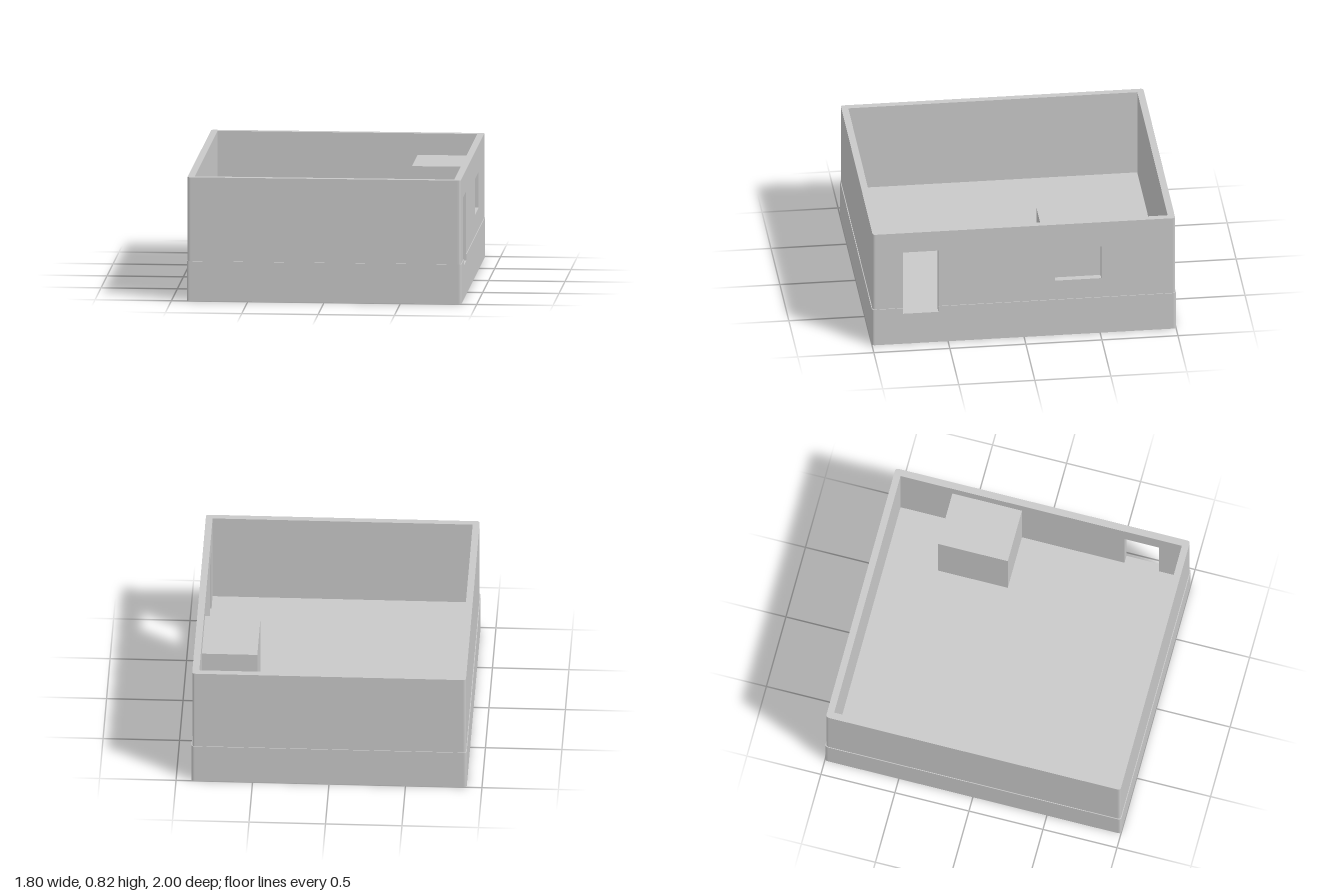
import * as THREE from 'three';

const FLOOR = 0.222, TOP = 0.817, BAND = 0.263;
const DOOR = { front: 0.797, back: 0.563, top: 0.674 };

// Rounded outline from the right side's upper end round to its lower end (shape y = -z)
function outerOutline(hx, hz, r, lo, hi) {
  const s = new THREE.Shape();
  s.moveTo(hx, hi);
  s.lineTo(hx, hz - r);
  s.quadraticCurveTo(hx, hz, hx - r, hz);
  s.lineTo(-hx + r, hz);
  s.quadraticCurveTo(-hx, hz, -hx, hz - r);
  s.lineTo(-hx, -hz + r);
  s.quadraticCurveTo(-hx, -hz, -hx + r, -hz);
  s.lineTo(hx - r, -hz);
  s.quadraticCurveTo(hx, -hz, hx, -hz + r);
  s.lineTo(hx, lo);
  return s;
}

// Ring with a gap in its right side
function openRing(hx, hz, r, ix, iz, lo, hi) {
  const s = outerOutline(hx, hz, r, lo, hi);
  [[ix, lo], [ix, -iz], [-ix, -iz], [-ix, iz], [ix, iz], [ix, hi]].forEach(p => s.lineTo(...p));
  s.closePath();
  return s;
}

const polygon = pts => pts.map(p => new THREE.Vector2(...p));
const rectangle = (x0, y0, x1, y1) => polygon([[x0, y0], [x1, y0], [x1, y1], [x0, y1]]);
const extrude = (shape, depth) =>
  new THREE.ExtrudeGeometry(shape, { depth, bevelEnabled: false, curveSegments: 5 });

// Extrude a plan upward, or a side elevation (u = -z, v = y) along x
const upward = (shape, y0, y1) => extrude(shape, y1 - y0).rotateX(-Math.PI / 2).translate(0, y0, 0);
const sideways = (shape, x0, x1) => extrude(shape, x1 - x0).rotateY(Math.PI / 2).translate(x0, 0, 0);

export function createModel() {
  const model = new THREE.Group();
  model.name = 'building';
  const grey = new THREE.MeshStandardMaterial({ color: 0xc8c8c8 });
  grey.name = 'light grey';
  const add = (name, geometry) => {
    const mesh = new THREE.Mesh(geometry, grey);
    mesh.name = name;
    model.add(mesh);
  };

  // Hollow base below the floor
  const plinth = outerOutline(0.9, 1, 0.02, -0.9, 0.9);
  plinth.closePath();
  plinth.holes.push(new THREE.Path(rectangle(-0.85, -0.95, 0.85, 0.95)));
  add('plinth', upward(plinth, 0, FLOOR));

  // Top of the base, cut away at the doorway
  add('plinthBand', upward(
    openRing(0.9, 1, 0.02, 0.88, 0.98, -DOOR.front, -DOOR.back), FLOOR, BAND));

  // Floor slab
  add('floor', new THREE.BoxGeometry(1.7, 0.022, 1.9).translate(0, FLOOR - 0.011, 0));

  // Three plain walls with all four corners
  add('walls', upward(openRing(0.895, 0.995, 0.02, 0.85, 0.95, -0.94, 0.94), FLOOR, TOP));

  // Wall with the doorway and window
  const wall = new THREE.Shape(polygon([
    [-0.94, FLOOR], [-DOOR.front, FLOOR], [-DOOR.front, DOOR.top], [-DOOR.back, DOOR.top],
    [-DOOR.back, FLOOR], [0.94, FLOOR], [0.94, TOP], [-0.94, TOP]]));
  wall.holes.push(new THREE.Path(rectangle(0.203, 0.402, 0.508, 0.638)));
  add('doorWall', sideways(wall, 0.85, 0.895));

  // Hollow booth behind the window
  const t = 0.045, a = 0.13, b = 0.6, h = 0.73;
  add('boothShell', sideways(new THREE.Shape(polygon([
    [a, FLOOR], [a + t, FLOOR], [a + t, h - t], [b - t, h - t],
    [b - t, FLOOR], [b, FLOOR], [b, h], [a, h]])), 0.487 + t, 0.85));
  add('boothInnerWall', sideways(new THREE.Shape(rectangle(a, FLOOR, b, h)), 0.487, 0.487 + t));

  return model;
}
